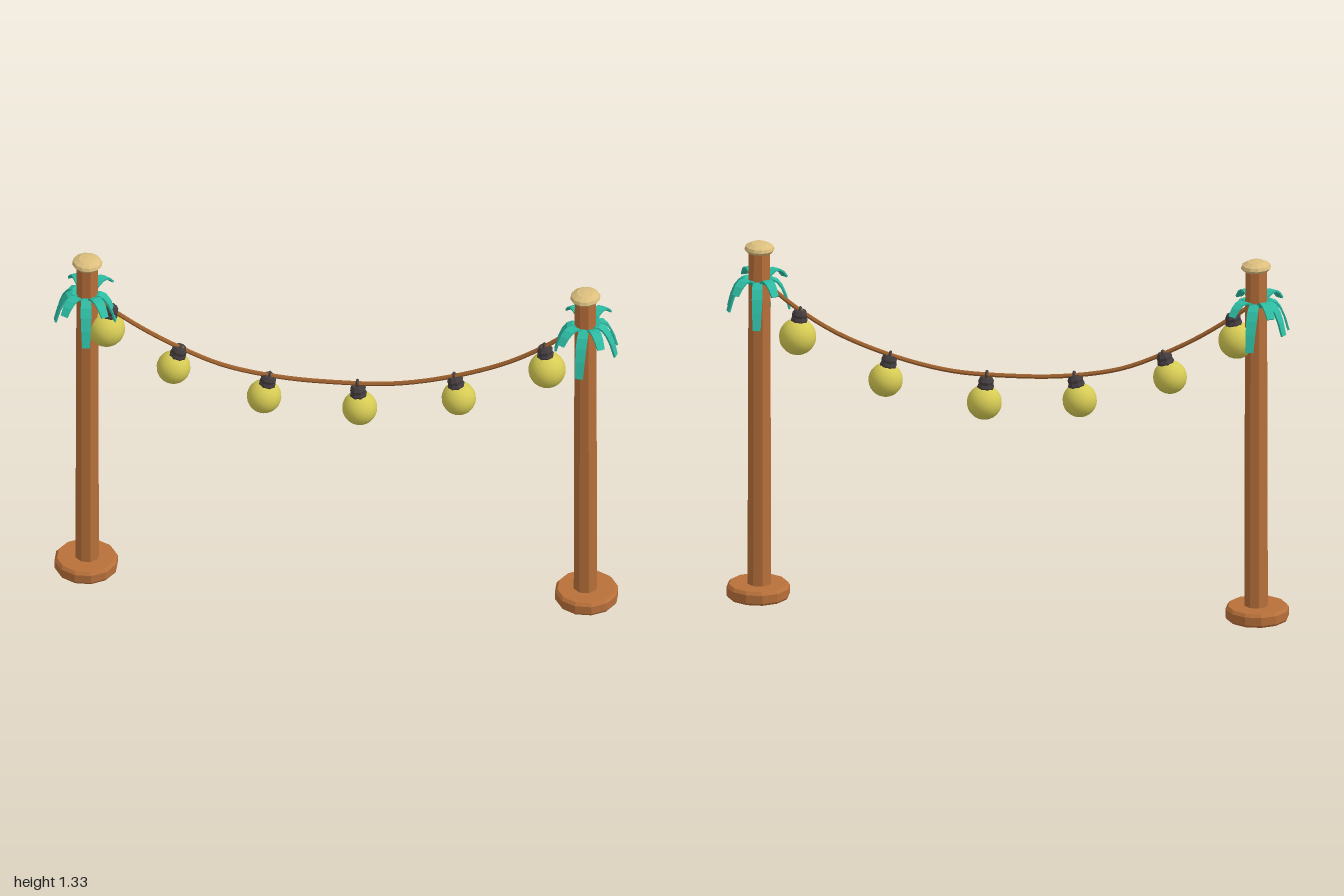
import * as THREE from 'three';

const mat = (name, color) => Object.assign(new THREE.MeshStandardMaterial({ color, flatShading: name !== 'bulbYellow' }), { name });

function add(parent, name, geometry, material, x = 0, y = 0, z = 0) {
  const mesh = new THREE.Mesh(geometry, material);
  mesh.name = name;
  mesh.position.set(x, y, z);
  parent.add(mesh);
  return mesh;
}

// Lathe with flat sides facing the axes; profile is listed bottom to top
function lathe(points, sides) {
  const g = new THREE.LatheGeometry(points.map(([r, y]) => new THREE.Vector2(r, y)), sides);
  return g.rotateY(Math.PI / sides);
}

// Thin strip bent along a drooping curve that leaves the post
function leafGeometry(start, bend, tip, width) {
  const curve = new THREE.QuadraticBezierCurve(
    new THREE.Vector2(...start), new THREE.Vector2(...bend), new THREE.Vector2(...tip));
  const g = new THREE.BoxGeometry(1, 0.007, width, 5, 1, 1);
  const p = g.attributes.position;
  for (let i = 0; i < p.count; i++) {
    const t = p.getX(i) + 0.5;
    const c = curve.getPoint(t);
    const d = curve.getTangent(t);
    const h = p.getY(i);
    const taper = 0.6 + 0.4 * Math.sin(Math.PI * Math.min(1, 0.15 + t * 0.75));
    p.setXYZ(i, c.x - d.y * h, c.y + d.x * h, p.getZ(i) * taper);
  }
  g.computeVertexNormals();
  return g;
}

export function createModel() {
  const model = new THREE.Group();
  model.name = 'stringLights';
  const wood = mat('wood', 0xb8703a);
  const ropeBrown = mat('ropeBrown', 0xa0622f);
  const cutWood = mat('cutWood', 0xdcbf7e);
  const leafTeal = mat('leafTeal', 0x2dbba2);
  const socketDark = mat('socketDark', 0x443d40);
  const bulbYellow = mat('bulbYellow', 0xd6cb54);

  // Posts with base, cap and a tuft of leaves
  const baseGeo = lathe([[0, 0], [0.108, 0], [0.113, 0.008], [0.113, 0.038], [0.104, 0.049], [0, 0.049]], 12);
  const postGeo = lathe([[0.043, 0.04], [0.042, 0.5], [0.041, 0.9], [0.039, 1.3]], 8);
  const capGeo = lathe([[0, -0.006], [0.046, -0.006], [0.054, 0.004], [0.05, 0.015], [0.03, 0.026], [0, 0.029]], 12);
  const flatLeaf = leafGeometry([0.03, 1.17], [0.085, 1.235], [0.138, 1.16], 0.036);
  const longLeaf = leafGeometry([0.03, 1.18], [0.085, 1.2], [0.13, 1.035], 0.038);
  const sideLeaf = leafGeometry([0.03, 1.18], [0.08, 1.21], [0.11, 1.075], 0.034);
  const leaves = [
    [flatLeaf, 55], [longLeaf, 84], [flatLeaf, 118], [sideLeaf, 165],
    [sideLeaf, 205], [flatLeaf, 242], [longLeaf, 275], [flatLeaf, 303], [sideLeaf, 8],
  ];
  for (const side of [-1, 1]) {
    const post = new THREE.Group();
    post.name = side < 0 ? 'rightPost' : 'leftPost';
    post.position.x = side * 0.887;
    model.add(post);
    add(post, 'base', baseGeo, wood);
    add(post, 'pole', postGeo, wood, -side * 0.004);
    const cap = add(post, 'cap', capGeo, cutWood, -side * 0.004, side < 0 ? 1.306 : 1.293);
    cap.rotation.z = side * 0.03;
    const tuft = new THREE.Group();
    tuft.name = 'leafTuft';
    post.add(tuft);
    for (const [geo, degrees] of leaves) {
      const a = THREE.MathUtils.degToRad(side < 0 ? degrees : 180 - degrees);
      add(tuft, 'leaf', geo, leafTeal).rotation.y = -a;
    }
  }

  // Sagging rope
  const path = new THREE.CatmullRomCurve3([
    [-0.89, 1.185], [-0.8, 1.12], [-0.68, 1.04], [-0.55, 0.97], [-0.4, 0.908], [-0.2, 0.872], [0, 0.864],
    [0.2, 0.873], [0.4, 0.917], [0.6, 0.992], [0.74, 1.075], [0.88, 1.185],
  ].map(([x, y]) => new THREE.Vector3(x, y, 0)));
  add(model, 'rope', new THREE.TubeGeometry(path, 48, 0.008, 6), ropeBrown);

  // Hanging bulbs: bulb centre, then where the socket meets the rope
  const bulbs = [
    [-0.815, 1.035, -0.8, 1.12, 0.066], [-0.577, 0.886, -0.553, 0.972, 0.06], [-0.256, 0.785, -0.237, 0.878, 0.061],
    [0.083, 0.761, 0.075, 0.866, 0.062], [0.434, 0.829, 0.418, 0.923, 0.061], [0.747, 0.976, 0.738, 1.074, 0.066],
  ];
  const socketGeo = lathe([[0, -0.03], [0.028, -0.03], [0.031, -0.015], [0.027, -0.005], [0.029, 0.006], [0.021, 0.02], [0, 0.022]], 8);
  const loopGeo = new THREE.TorusGeometry(0.011, 0.005, 5, 10).rotateY(Math.PI / 2);
  for (const [x, y, ropeX, ropeY, radius] of bulbs) {
    const light = new THREE.Group();
    light.name = 'hangingLight';
    light.position.set(x, y, 0);
    light.rotation.z = -Math.atan2(ropeX - x, ropeY - y);
    model.add(light);
    const length = Math.hypot(ropeX - x, ropeY - y);
    add(light, 'bulb', new THREE.SphereGeometry(radius, 20, 14), bulbYellow);
    add(light, 'socket', socketGeo, socketDark, 0, radius + 0.013);
    add(light, 'hangerLoop', loopGeo, socketDark, 0, length);
  }
  return model;
}
